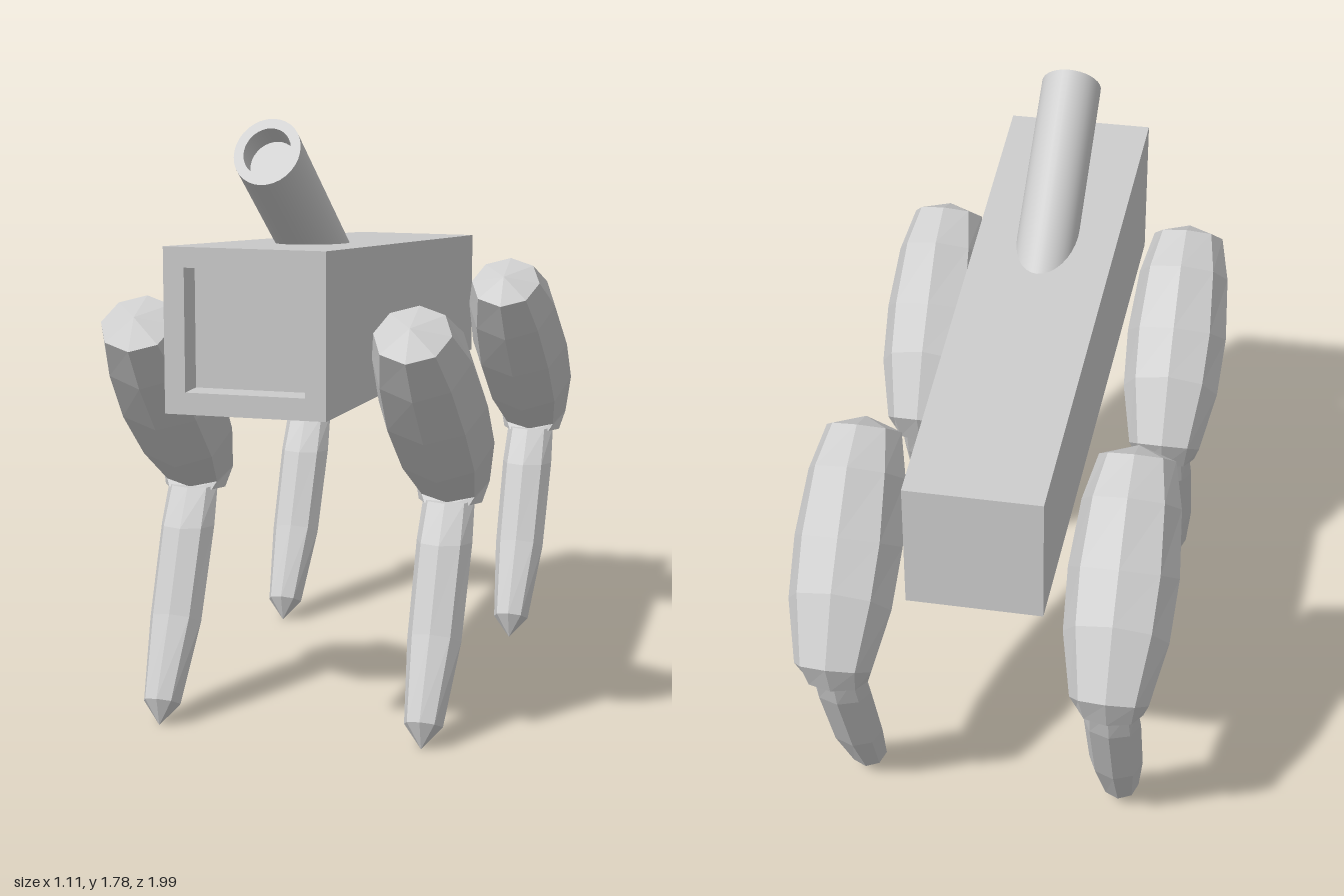
import * as THREE from 'three';
import { toCreasedNormals } from 'three/addons/utils/BufferGeometryUtils.js';

const flat = new THREE.MeshStandardMaterial({ color: 0xcccccc, flatShading: true });
const smooth = new THREE.MeshStandardMaterial({ color: 0xcccccc });
const V = (x, y, z) => new THREE.Vector3(x, y, z);

// Skin over a row of rings, closed by a fan to a tip at each end
function loft(rings, startTip, endTip) {
  const pos = [];
  const tri = (...pts) => pts.forEach(p => pos.push(p.x, p.y, p.z));
  const n = rings[0].length, last = rings.length - 1;
  for (let i = 0; i < n; i++) {
    const j = (i + 1) % n;
    tri(startTip, rings[0][j], rings[0][i]);
    for (let k = 0; k < last; k++) {
      const a = rings[k], b = rings[k + 1];
      tri(a[i], a[j], b[j]);
      tri(a[i], b[j], b[i]);
    }
    tri(endTip, rings[last][i], rings[last][j]);
  }
  const g = new THREE.BufferGeometry();
  g.setAttribute('position', new THREE.Float32BufferAttribute(pos, 3));
  g.computeVertexNormals();
  return g;
}

// Eight-sided ring from its rear point, its front point and its half width
function octagon([zA, yA, zB, yB, rx]) {
  return Array.from({ length: 8 }, (_, i) => {
    const a = i * Math.PI / 4, c = Math.cos(a) / 2;
    return V(rx * Math.sin(a), (yA + yB) / 2 + (yA - yB) * c, (zA + zB) / 2 + (zA - zB) * c);
  });
}

function rectangle(z, w, y0, y1) {
  return [V(-w, y1, z), V(w, y1, z), V(w, y0, z), V(-w, y0, z)];
}

function add(parent, name, geometry, material) {
  const mesh = new THREE.Mesh(geometry, material);
  mesh.name = name;
  parent.add(mesh);
  return mesh;
}

export function createModel() {
  const model = new THREE.Group();
  model.name = 'fourLeggedWalker';

  // Tapered body with a square recess in the front
  add(model, 'body', loft([
    rectangle(0.915, 0.167, 1.06, 1.395),
    rectangle(1, 0.167, 1.06, 1.395),
    rectangle(1, 0.225, 1, 1.45),
    rectangle(-0.835, 0.195, 0.92, 1.31),
  ], V(0, 1.23, 0.915), V(0, 1.115, -0.835)), flat);

  // Hollow-ended barrel leaning forward out of the back
  const profile = [[0, -0.85], [0.103, -0.85], [0.103, 0], [0.073, 0], [0.073, -0.07], [0, -0.07]]
    .map(([r, y]) => new THREE.Vector2(r, y));
  const barrel = add(model, 'barrel', toCreasedNormals(new THREE.LatheGeometry(profile, 32), 0.6), smooth);
  barrel.position.set(0, 1.69, 0.795);
  barrel.rotation.x = 0.972;
  barrel.scale.x = 0.9;

  // Bulging thigh, ending in a level knee
  const thigh = loft([
    [0.677, 1.273, 0.832, 1.134, 0.11],
    [0.549, 1.219, 0.752, 1.016, 0.142],
    [0.41, 1.075, 0.629, 0.877, 0.158],
    [0.308, 0.957, 0.474, 0.738, 0.15],
    [0.201, 0.765, 0.351, 0.655, 0.112],
    [0.238, 0.652, 0.362, 0.648, 0.095],
  ].map(octagon), V(0, 1.225, 0.785), V(0, 0.65, 0.3));

  // Slim shin, running to a pointed foot
  const shin = loft([
    [0.265, 0.66, 0.37, 0.655, 0.077],
    [0.297, 0.545, 0.44, 0.545, 0.083],
    [0.43, 0.25, 0.54, 0.31, 0.08],
    [0.56, 0.037, 0.655, 0.086, 0.057],
  ].map(octagon), V(0, 0.66, 0.317), V(0, 0, 0.634));

  for (const [end, z] of [['front', 0], ['back', -1.195]]) {
    for (const [side, x] of [['Left', 0.395], ['Right', -0.395]]) {
      const leg = new THREE.Group();
      leg.name = end + side + 'Leg';
      leg.position.set(x, 0, z);
      add(leg, 'thigh', thigh, flat);
      add(leg, 'shin', shin, flat);
      model.add(leg);
    }
  }
  return model;
}
